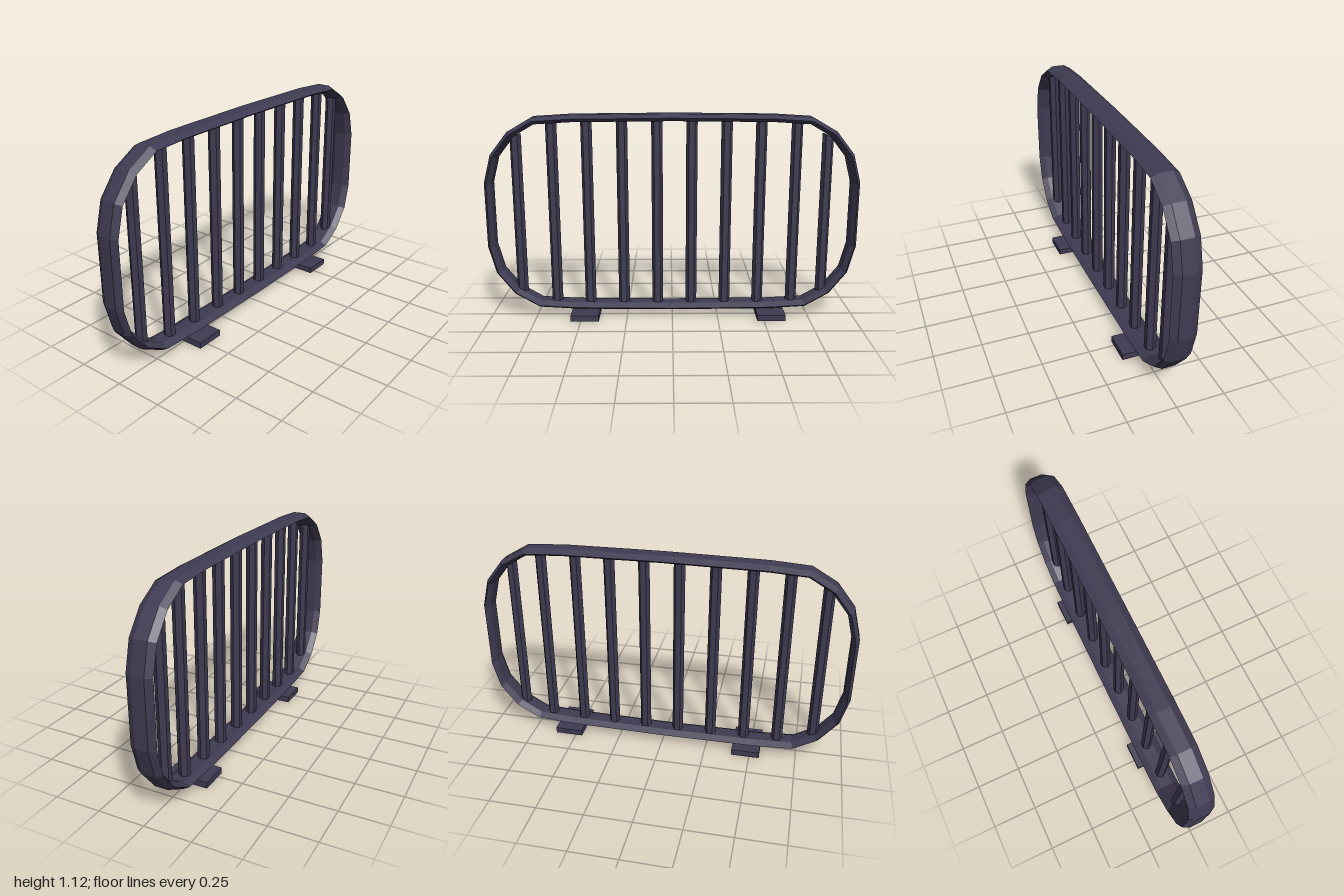
import * as THREE from 'three';

const mat = new THREE.MeshStandardMaterial({ color: 0x3f3b52, flatShading: true });
const MID_Y = 0.574, MID_Z = -0.015;

// Closed, squashed hexagonal tube swept round the rail outline
function railGeometry() {
  const quarter = [[0.982, 0.173], [0.944, 0.318], [0.853, 0.433], [0.729, 0.505], [0.53, 0.517]];
  const flip = (sx, sy, pts) => pts.map(([x, y]) => new THREE.Vector2(x * sx, y * sy));
  const back = [...quarter].reverse();
  const path = [
    ...flip(1, 1, quarter), new THREE.Vector2(0, 0.522),
    ...flip(-1, 1, back), ...flip(-1, -1, quarter),
    new THREE.Vector2(0, -0.522), ...flip(1, -1, back),
  ];
  const n = path.length, sides = 6, pos = [], index = [];
  path.forEach((p, i) => {
    const a = p.clone().sub(path[(i + n - 1) % n]).normalize();
    const b = path[(i + 1) % n].clone().sub(p).normalize();
    const t = a.add(b).normalize();
    for (let k = 0; k < sides; k++) {
      const ang = (k / sides) * Math.PI * 2;
      const r = Math.sin(ang) * 0.022;
      pos.push(p.x + t.y * r, p.y - t.x * r + MID_Y, MID_Z + Math.cos(ang) * 0.069);
      const k2 = (k + 1) % sides, i2 = (i + 1) % n;
      const q = [i * sides + k, i2 * sides + k, i2 * sides + k2, i * sides + k2];
      index.push(q[0], q[2], q[1], q[0], q[3], q[2]);
    }
  });
  const g = new THREE.BufferGeometry();
  g.setAttribute('position', new THREE.Float32BufferAttribute(pos, 3));
  g.setIndex(index);
  // Orient faces outwards
  const flat = g.toNonIndexed();
  flat.computeVertexNormals();
  return flat;
}

// Six-sided upright; slope slants both ends to follow the curved corners
function barGeometry(x, halfHeight, slope) {
  const g = new THREE.CylinderGeometry(0.03, 0.03, halfHeight * 2, 6);
  g.rotateY(Math.PI / 6);
  const p = g.attributes.position;
  let widest = 0;
  for (let i = 0; i < p.count; i++) widest = Math.max(widest, Math.abs(p.getX(i)));
  if (widest < 0.029) g.rotateY(Math.PI / 6);
  for (let i = 0; i < p.count; i++) {
    p.setY(i, p.getY(i) - Math.sign(p.getY(i)) * Math.sign(x) * p.getX(i) * slope);
  }
  g.computeVertexNormals();
  return g;
}

export function createModel() {
  const group = new THREE.Group();
  const add = (name, geo, x, y, z) => {
    const m = new THREE.Mesh(geo, mat);
    m.name = name;
    m.position.set(x, y, z);
    group.add(m);
  };

  add('outerRail', railGeometry(), 0, 0, 0);

  // Upright bars, the end pair shorter with slanted ends
  const xs = [-0.829, -0.639, -0.454, -0.267, -0.081, 0.104, 0.289, 0.472, 0.66, 0.825];
  xs.forEach((x, i) => {
    const end = i === 0 || i === xs.length - 1;
    add('uprightBar', barGeometry(x, end ? 0.425 : 0.512, end ? 0.45 : 0), x, MID_Y, MID_Z);
  });

  // Flat feet
  for (const x of [-0.478, 0.54]) {
    add('foot', new THREE.BoxGeometry(0.153, 0.033, 0.226), x, 0.0165, 0);
  }
  return group;
}
